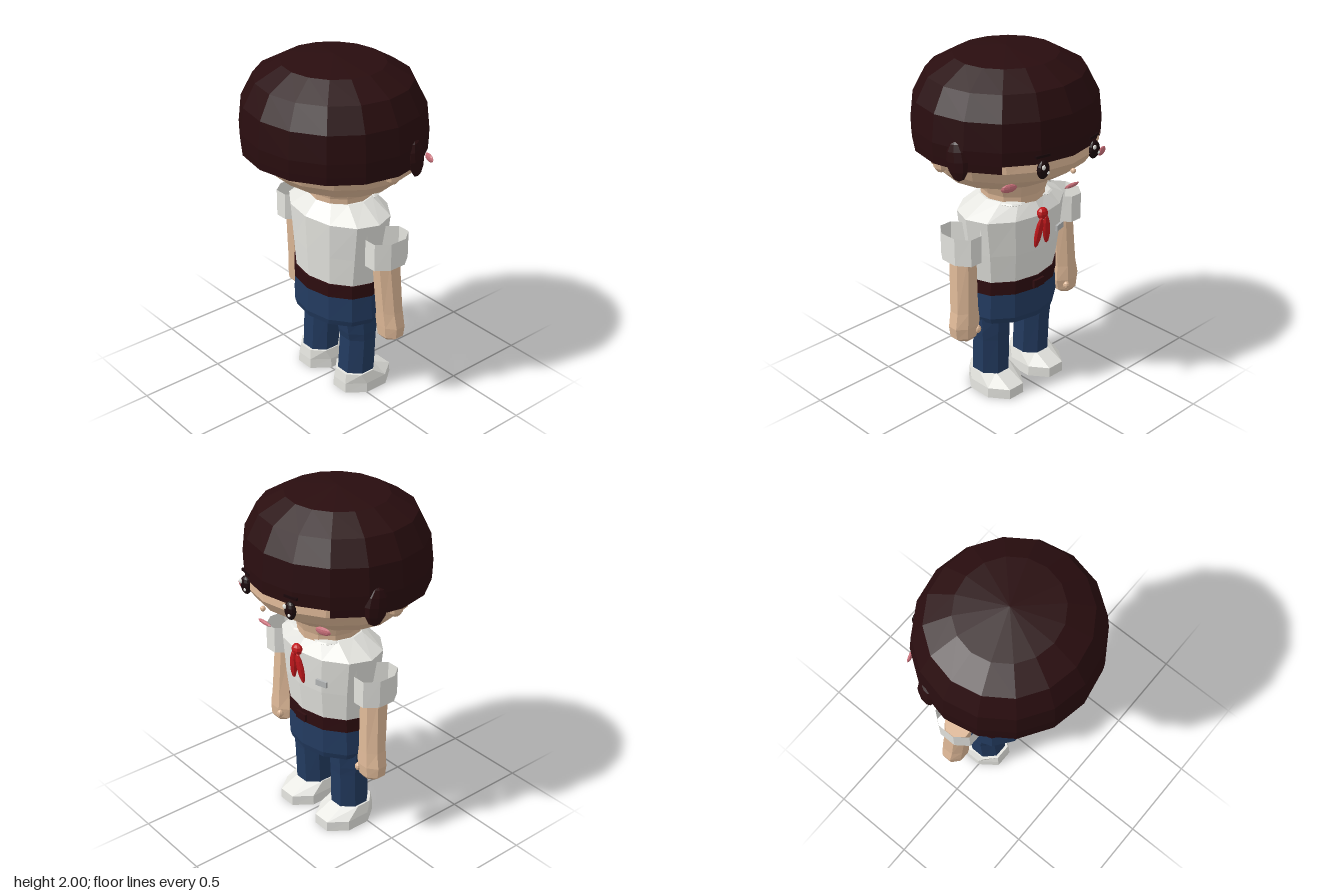
import * as THREE from 'three';

const flat = (name, color, side = THREE.FrontSide) =>
  new THREE.MeshStandardMaterial({ name, color, flatShading: true, side });

export function createModel() {
  const model = new THREE.Group();
  model.name = 'schoolKid';

  const hairMat = flat('darkBrownHair', 0x290d0f, THREE.DoubleSide);
  const skin = flat('skin', 0xdfb998);
  const white = flat('whiteCloth', 0xe4e4df, THREE.DoubleSide);
  const blue = flat('navyTrousers', 0x233b60);
  const beltMat = flat('beltBrown', 0x2e0d10);
  const red = flat('redScarf', 0xc4181c);
  const pink = flat('pink', 0xc9707a);
  const dark = flat('eyeDark', 0x1a080b);
  const grey = flat('badgeGrey', 0xb4b6b6);

  const add = (name, geometry, material, x = 0, y = 0, z = 0) => {
    const mesh = new THREE.Mesh(geometry, material);
    mesh.name = name;
    mesh.position.set(x, y, z);
    model.add(mesh);
    return mesh;
  };

  // Low-poly ellipsoid
  const blob = (name, material, pos, radii, w = 8, h = 6) => {
    const mesh = add(name, new THREE.SphereGeometry(1, w, h), material, ...pos);
    mesh.scale.set(...radii);
    return mesh;
  };

  // Skin over elliptical rings [y, centreX, centreZ, radiusX, radiusZ], listed bottom to top.
  // half = true turns a flat side, rather than a corner, to the front.
  const loft = (rings, sides, { half = false, caps = true } = {}) => {
    const pos = [], index = [];
    const grow = half ? 1 / Math.cos(Math.PI / sides) : 1;
    for (const [y, cx, cz, rx, rz] of rings) {
      for (let i = 0; i < sides; i++) {
        const a = ((i + (half ? 0.5 : 0)) / sides) * Math.PI * 2;
        pos.push(cx + Math.sin(a) * rx * grow, y, cz + Math.cos(a) * rz * grow);
      }
    }
    for (let r = 0; r < rings.length - 1; r++) {
      for (let i = 0; i < sides; i++) {
        const a = r * sides + i, b = r * sides + ((i + 1) % sides);
        index.push(a, b, b + sides, a, b + sides, a + sides);
      }
    }
    if (caps) {
      const top = (rings.length - 1) * sides;
      for (let i = 1; i < sides - 1; i++) {
        index.push(0, i + 1, i, top, top + i, top + i + 1);
      }
    }
    const g = new THREE.BufferGeometry();
    g.setAttribute('position', new THREE.Float32BufferAttribute(pos, 3));
    g.setIndex(index);
    g.computeVertexNormals();
    return g;
  };

  // Head and neck
  add('head', loft([
    [1.295, 0, -0.03, 0.2, 0.2], [1.33, 0, -0.005, 0.37, 0.315], [1.41, 0, -0.02, 0.455, 0.42],
    [1.48, 0, -0.03, 0.49, 0.458], [1.56, 0, -0.025, 0.5, 0.458], [1.72, 0, -0.01, 0.46, 0.42],
    [1.86, 0, 0, 0.3, 0.27],
  ], 16), skin);
  add('neck', loft([
    [1.15, 0, -0.045, 0.18, 0.175], [1.22, 0, -0.045, 0.185, 0.18], [1.32, 0, -0.045, 0.225, 0.21],
  ], 12), skin);

  // Bowl-cut hair: full crown, plus a lower band left open over the face
  const lathe = (pts, segs, start, length) =>
    new THREE.LatheGeometry(pts.map(p => new THREE.Vector2(...p)), segs, start, length);
  const crown = add('hairCrown', lathe(
    [[0.523, 1.525], [0.525, 1.6], [0.508, 1.75], [0.44, 1.88], [0.29, 1.963], [0, 2]],
    16, 0, Math.PI * 2), hairMat, 0, 0, 0.01);
  const band = add('hairLowerBand', lathe([[0.52, 1.482], [0.523, 1.525]],
    12, Math.PI * 1.25, Math.PI * 1.5), hairMat, 0, 0, 0.01);
  crown.scale.z = band.scale.z = 0.955;

  // Shirt, belt and hips
  add('shirt', loft([
    [0.72, 0, -0.025, 0.29, 0.215], [0.9, 0, -0.03, 0.312, 0.23],
    [1.11, 0, -0.03, 0.34, 0.24], [1.19, 0, -0.04, 0.195, 0.17],
  ], 12), white);
  add('belt', loft([[0.65, 0, -0.022, 0.297, 0.224], [0.73, 0, -0.022, 0.295, 0.224]], 12), beltMat);
  add('beltBuckle', new THREE.BoxGeometry(0.08, 0.045, 0.015), beltMat, 0, 0.685, -0.25);
  add('hips', loft([
    [0.465, 0, -0.022, 0.285, 0.215], [0.5, 0, -0.022, 0.3, 0.224], [0.655, 0, -0.022, 0.29, 0.218],
  ], 12), blue);

  // Nose, mouth, scarf knot and chest badge
  blob('nose', skin, [0, 1.44, -0.49], [0.015, 0.015, 0.015]);
  blob('mouth', pink, [0, 1.355, -0.482], [0.055, 0.011, 0.011]);
  blob('scarfKnot', red, [0, 1.12, -0.272], [0.036, 0.034, 0.027]);
  const badge = add('chestBadge', new THREE.BoxGeometry(0.07, 0.035, 0.014), grey, -0.17, 0.97, -0.24);
  badge.rotation.y = 0.27;

  for (const s of [1, -1]) {
    const side = s > 0 ? 'left' : 'right';

    // Face details
    blob(side + 'Ear', skin, [s * 0.475, 1.475, 0.008], [0.035, 0.055, 0.048]);
    blob(side + 'Sidelock', hairMat, [s * 0.49, 1.53, -0.14], [0.028, 0.108, 0.065]).rotation.set(0.12, s * 0.3, 0);
    blob(side + 'Eye', dark, [s * 0.19, 1.495, -0.457], [0.04, 0.052, 0.024], 10, 8);
    blob(side + 'EyeGlintLarge', white, [s * 0.19 + 0.018, 1.517, -0.479], [0.013, 0.014, 0.008]);
    blob(side + 'EyeGlintSmall', white, [s * 0.19 - 0.016, 1.478, -0.478], [0.009, 0.009, 0.007]);
    const brow = add(side + 'Brow', new THREE.BoxGeometry(0.085, 0.014, 0.016), dark, s * 0.19, 1.568, -0.452);
    brow.rotation.y = s * -0.2;
    blob(side + 'Blush', pink, [s * 0.35, 1.412, -0.373], [0.047, 0.023, 0.011]).rotation.y = s * -0.3;

    // Collar flap and scarf tail
    blob(side + 'CollarFlap', white, [s * 0.1, 1.183, -0.14], [0.08, 0.013, 0.08]);
    blob(side + 'ScarfTail', red, [s * 0.03, 1.015, -0.275], [0.025, 0.095, 0.016]).rotation.set(-0.12, 0, s * 0.14);

    // Open sleeve, arm with mitten hand, thumb
    add(side + 'Sleeve', loft([
      [0.905, s * 0.387, -0.042, 0.09, 0.122], [1.065, s * 0.387, -0.042, 0.092, 0.122],
    ], 8, { half: true, caps: false }), white);
    add(side + 'Arm', loft([
      [0.42, s * 0.4, -0.072, 0.045, 0.045], [0.445, s * 0.4, -0.07, 0.077, 0.065],
      [0.51, s * 0.397, -0.07, 0.088, 0.07], [0.6, s * 0.392, -0.065, 0.076, 0.07],
      [0.93, s * 0.378, -0.045, 0.07, 0.075],
    ], 8, { half: true }), skin);
    blob(side + 'Thumb', skin, [s * 0.355, 0.48, -0.132], [0.02, 0.025, 0.02]);

    // Trouser leg
    add(side + 'Leg', loft([
      [0.1, s * 0.16, -0.028, 0.102, 0.103], [0.34, s * 0.163, -0.038, 0.103, 0.1],
      [0.39, s * 0.165, -0.034, 0.106, 0.108], [0.5, s * 0.165, -0.03, 0.108, 0.12],
    ], 8, { half: true }), blue);

    // Shoe
    add(side + 'Shoe', loft([
      [0, s * 0.162, -0.072, 0.13, 0.172], [0.06, s * 0.162, -0.072, 0.127, 0.17],
      [0.12, s * 0.162, -0.015, 0.11, 0.105],
    ], 8, { half: true }), white);
  }

  return model;
}
